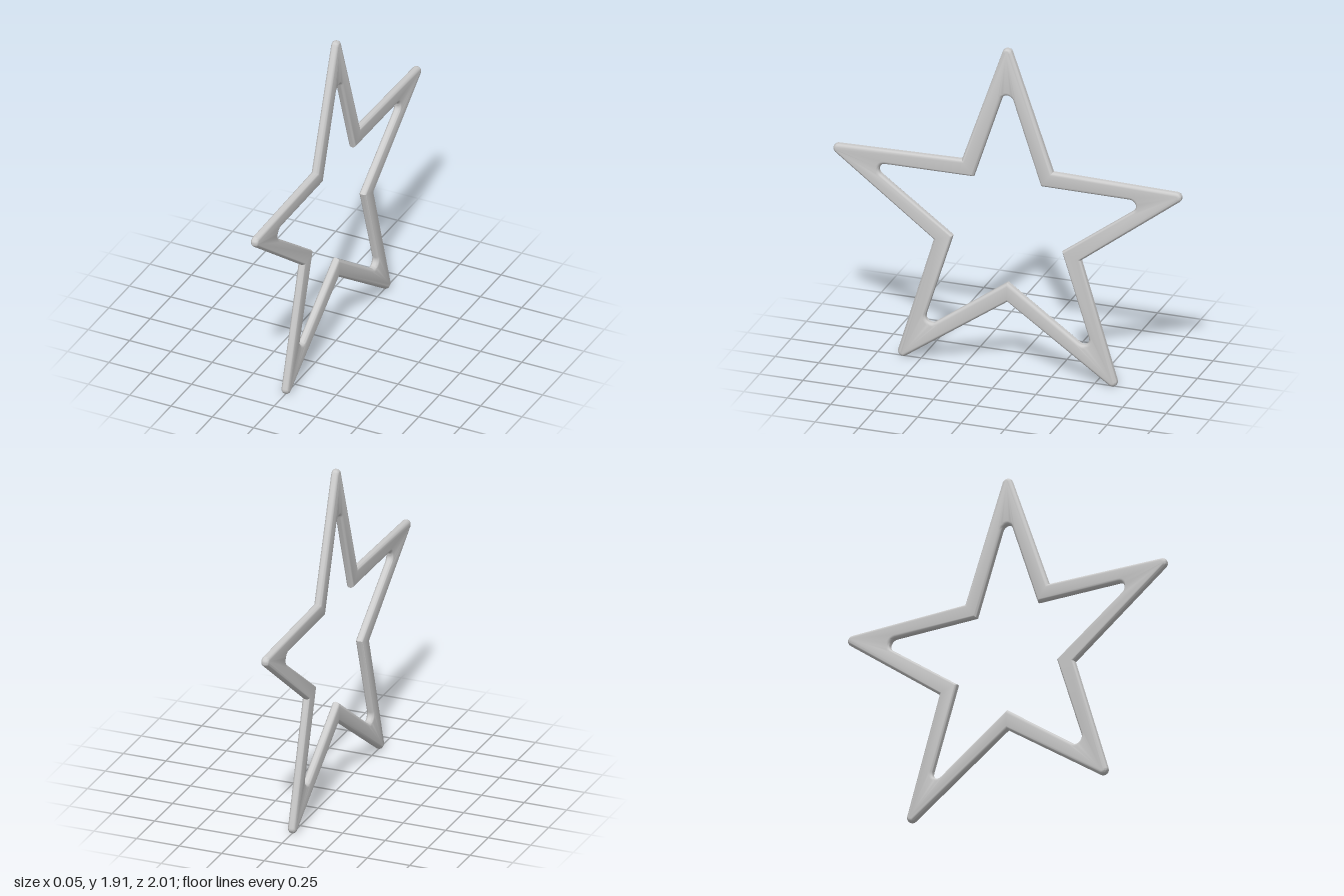
import * as THREE from 'three';
import { toCreasedNormals } from 'three/addons/utils/BufferGeometryUtils.js';

const HALF_THICKNESS = 0.0225;
const BEVEL = 0.02;

// Five-pointed outline: sharp valleys, tips rounded by an arc of the given radius
function starPoints(valleyRadius, tipRadius, rounding, halfAngle) {
  const points = [];
  const steps = 5;
  const sweep = Math.PI / 2 - halfAngle;
  for (let arm = 0; arm < 5; arm++) {
    const axis = Math.PI / 2 + arm * Math.PI * 2 / 5;
    const cos = Math.cos(axis), sin = Math.sin(axis);
    const valley = axis - Math.PI / 5;
    points.push(new THREE.Vector2(valleyRadius * Math.cos(valley), valleyRadius * Math.sin(valley)));
    for (let i = -steps; i <= steps; i++) {
      const a = sweep * i / steps;
      const r = tipRadius - rounding + rounding * Math.cos(a);
      const s = rounding * Math.sin(a);
      points.push(new THREE.Vector2(r * cos - s * sin, r * sin + s * cos));
    }
  }
  return points;
}

export function createModel() {
  const group = new THREE.Group();
  group.name = 'starOutline';

  // Outer star with a smaller star cut out
  const shape = new THREE.Shape(starPoints(0.446, 1.053, 0.03, 0.335));
  shape.holes.push(new THREE.Path(starPoints(0.33, 0.775, 0.035, 0.315)));

  // Thin frame with rounded rims, kept inside the drawn outline
  const depth = 2 * (HALF_THICKNESS - BEVEL);
  let geometry = new THREE.ExtrudeGeometry(shape, {
    depth,
    bevelEnabled: true,
    bevelThickness: BEVEL,
    bevelSize: BEVEL,
    bevelOffset: -BEVEL,
    bevelSegments: 5,
  });
  geometry.translate(0, 0, -depth / 2);
  geometry.rotateY(Math.PI / 2);
  geometry = toCreasedNormals(geometry, 0.7);

  // Stand the two lower tips on the ground
  geometry.computeBoundingBox();
  geometry.translate(0, -geometry.boundingBox.min.y, 0);

  const frame = new THREE.Mesh(geometry, new THREE.MeshStandardMaterial({ color: 0xcccccc }));
  frame.name = 'starFrame';
  group.add(frame);
  return group;
}
